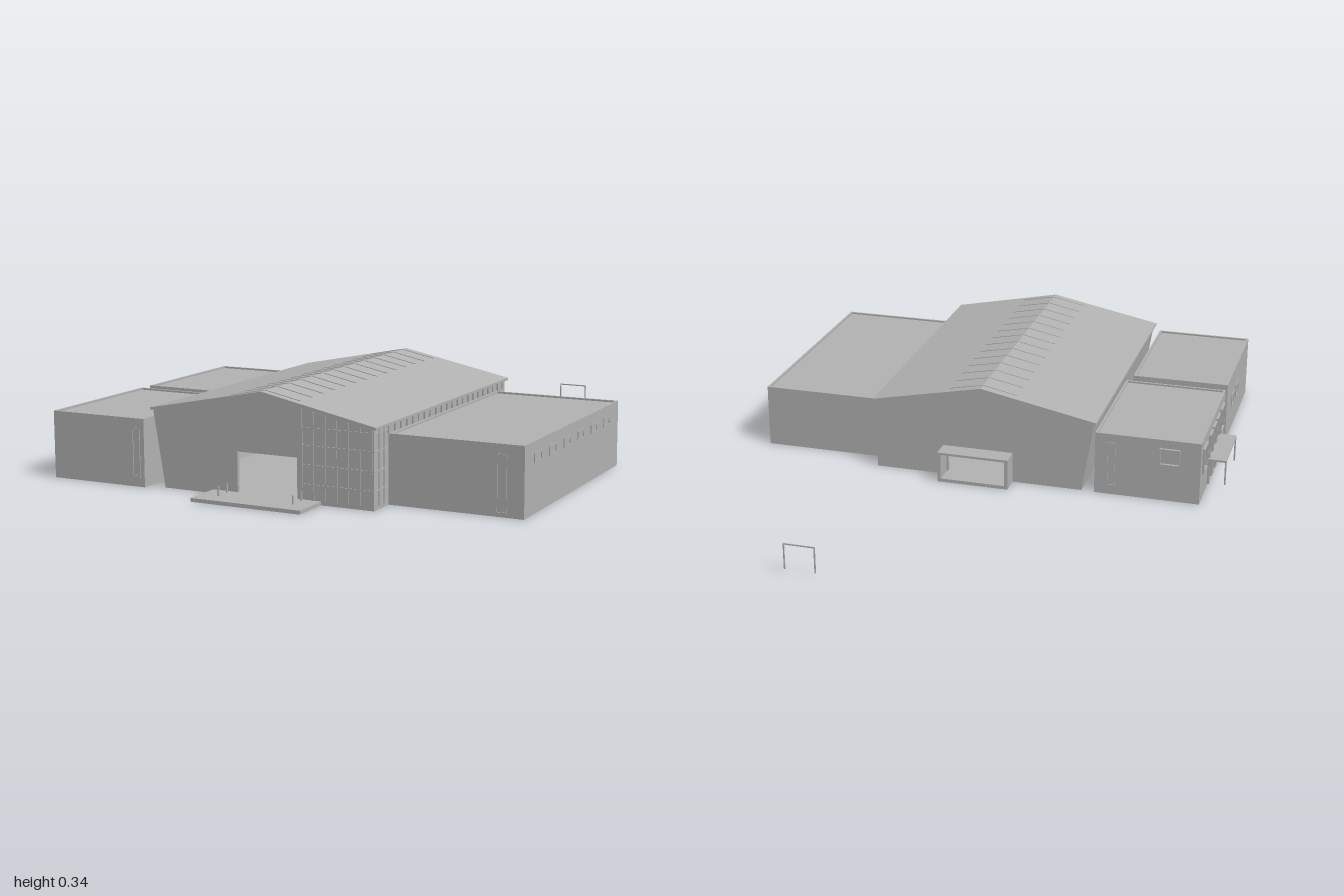
import * as THREE from 'three';

export function createModel() {
  const model = new THREE.Group();
  model.name = 'hallBuilding';
  const concrete = new THREE.MeshStandardMaterial({ color: 0xb2b2b2 });
  concrete.name = 'plain grey';

  const add = (name, geometry) => {
    const mesh = new THREE.Mesh(geometry, concrete);
    mesh.name = name;
    model.add(mesh);
    return mesh;
  };
  // Box given by its limits on each axis
  const box = (name, x0, x1, y0, y1, z0, z1) => {
    const mesh = add(name, new THREE.BoxGeometry(x1 - x0, y1 - y0, z1 - z0));
    mesh.position.set((x0 + x1) / 2, (y0 + y1) / 2, (z0 + z1) / 2);
    return mesh;
  };
  // Outline in x,y carried from z0 to z1, with an optional rectangular hole
  const prism = (name, points, z0, z1, hole) => {
    const shape = new THREE.Shape(points.map(p => new THREE.Vector2(...p)));
    if (hole) {
      const [x0, x1, y0, y1] = hole;
      shape.holes.push(new THREE.Path([[x0, y0], [x0, y1], [x1, y1], [x1, y0]].map(p => new THREE.Vector2(...p))));
    }
    const geometry = new THREE.ExtrudeGeometry(shape, { depth: z1 - z0, bevelEnabled: false });
    add(name, geometry).position.z = z0;
  };
  // Flat-roofed block with a low parapet
  const wing = (name, x0, x1, z0, z1, h) => {
    const t = 0.008, roof = h - 0.006;
    box(name, x0, x1, 0, roof, z0, z1);
    box(name + 'Parapet', x0, x0 + t, roof, h, z0, z1);
    box(name + 'Parapet', x1 - t, x1, roof, h, z0, z1);
    box(name + 'Parapet', x0 + t, x1 - t, roof, h, z0, z0 + t);
    box(name + 'Parapet', x0 + t, x1 - t, roof, h, z1 - t, z1);
  };
  // Window frame on a wall facing x or z, standing out by a small depth
  const frame = (name, axis, at, out, a0, a1, y0, y1) => {
    const t = 0.005, lo = Math.min(at, at + out), hi = Math.max(at, at + out);
    for (const [b0, b1, c0, c1] of [[a0, a1, y0, y0 + t], [a0, a1, y1 - t, y1],
      [a0, a0 + t, y0 + t, y1 - t], [a1 - t, a1, y0 + t, y1 - t]]) {
      if (axis === 'x') box(name, lo, hi, c0, c1, b0, b1);
      else box(name, b0, b1, c0, c1, lo, hi);
    }
  };

  // Main hall: leaning side wall, gables with through openings, floor
  const gable = [[-0.355, 0], [0.38, 0], [0.38, 0.248], [0, 0.325], [-0.395, 0.248]];
  const zBack = -0.157, zFront = 0.868;
  prism('frontGable', gable, zFront - 0.012, zFront, [-0.09, 0.12, 0.012, 0.14]);
  prism('backGable', gable, zBack, zBack + 0.012, [-0.09, 0.12, 0.012, 0.1]);
  prism('leaningWall', [[-0.355, 0], [-0.343, 0], [-0.383, 0.248], [-0.395, 0.248]], zBack + 0.012, zFront - 0.012);
  box('hallSideWall', 0.368, 0.38, 0, 0.248, zBack + 0.012, zFront - 0.012);
  box('hallFloor', -0.343, 0.368, 0, 0.01, zBack + 0.012, zFront - 0.012);

  // Gabled roof sheet
  prism('hallRoof', [[-0.403, 0.247], [0, 0.325], [0.39, 0.247], [0.39, 0.255], [0, 0.335], [-0.403, 0.255]], -0.165, 0.875);

  // Ridge ribs down both slopes
  const pitch = Math.atan2(0.08, 0.395);
  for (let i = 0; i < 14; i++) {
    const z = -0.13 + i * 0.075;
    for (const side of [-1, 1]) {
      const rib = box('ridgeRib', -0.06, 0.06, -0.002, 0.002, -0.004, 0.004);
      rib.position.set(side * 0.061, 0.335 - 0.061 * Math.tan(pitch), z);
      rib.rotation.z = -side * pitch;
    }
  }

  // Front glazing grid, right of the ridge and round the corner
  for (let i = 0; i < 7; i++) {
    const x = 0.137 + i * 0.0395;
    box('glazingMullion', x - 0.002, x + 0.002, 0.012, 0.318 - x * 0.2, zFront, zFront + 0.003);
  }
  for (const y of [0.06, 0.12, 0.18, 0.235]) {
    box('glazingTransom', 0.135, 0.382, y - 0.002, y + 0.002, zFront, zFront + 0.003);
    box('cornerTransom', 0.38, 0.383, y - 0.002, y + 0.002, 0.775, zFront);
  }
  for (const z of [0.8, 0.835]) box('cornerMullion', 0.38, 0.383, 0.012, 0.245, z - 0.002, z + 0.002);

  // High-level mullions above the side wing
  for (let i = 0; i < 22; i++) {
    const z = -0.13 + i * 0.043;
    box('clerestoryMullion', 0.38, 0.385, 0.222, 0.247, z - 0.002, z + 0.002);
  }

  // Side wings and the link between the two smaller ones
  wing('largeWing', 0.381, 0.82, -0.08, 0.77, 0.22);
  wing('backWing', -0.76, -0.4, -0.16, 0.34, 0.22);
  wing('frontWing', -0.76, -0.415, 0.39, 0.895, 0.22);
  box('wingLink', -0.52, -0.415, 0, 0.2, 0.34, 0.39);

  // Windows and doors of the wings
  for (let i = 0; i < 6; i++) {
    const z = 0.01 + i * 0.125;
    frame('largeWingWindow', 'x', 0.82, 0.003, z, z + 0.06, 0.155, 0.185);
  }
  frame('largeWingDoor', 'z', 0.77, 0.003, 0.73, 0.765, 0.01, 0.19);
  for (const [z0, z1, y0] of [[-0.13, -0.06, 0.1], [-0.01, 0.05, 0.01], [0.065, 0.125, 0.01], [0.14, 0.2, 0.01], [0.23, 0.3, 0.1]]) {
    frame('backWingWindow', 'x', -0.76, -0.008, z0, z1, y0, 0.19);
  }
  for (const z of [0.5, 0.6]) frame('frontWingWindow', 'x', -0.76, -0.003, z, z + 0.06, 0.09, 0.14);
  frame('backWingRearWindow', 'z', -0.16, -0.009, -0.69, -0.62, 0.13, 0.19);
  frame('backWingRearDoor', 'z', -0.16, -0.003, -0.47, -0.44, 0.03, 0.19);
  frame('frontWingDoor', 'z', 0.895, 0.003, -0.46, -0.43, 0.03, 0.19);

  // Side canopy on two posts
  box('sideCanopy', -0.825, -0.76, 0.1, 0.107, -0.02, 0.21);
  for (const z of [-0.012, 0.202]) box('canopyPost', -0.825, -0.82, 0.015, 0.1, z - 0.003, z + 0.003);

  // Open box porch at the back
  box('porchFloor', -0.112, 0.138, 0, 0.012, -0.225, zBack);
  box('porchRoof', -0.112, 0.138, 0.1, 0.108, -0.225, zBack);
  box('porchSide', -0.112, -0.1, 0.012, 0.1, -0.225, zBack);
  box('porchSide', 0.126, 0.138, 0.012, 0.1, -0.225, zBack);

  // Front entrance terrace with bollards
  box('entranceTerrace', -0.178, 0.202, 0, 0.012, zFront, 1);
  for (const x of [-0.117, 0.143]) {
    for (const z of [0.888, 0.937]) {
      const bollard = add('bollard', new THREE.CylinderGeometry(0.003, 0.003, 0.028, 8));
      bollard.position.set(x, 0.026, z);
    }
  }

  // Freestanding goal frame behind the building
  for (const x of [0.28, 0.381]) box('goalPost', x, x + 0.004, 0.015, 0.1, -1, -0.996);
  box('goalBar', 0.28, 0.385, 0.1, 0.104, -1, -0.996);

  return model;
}
